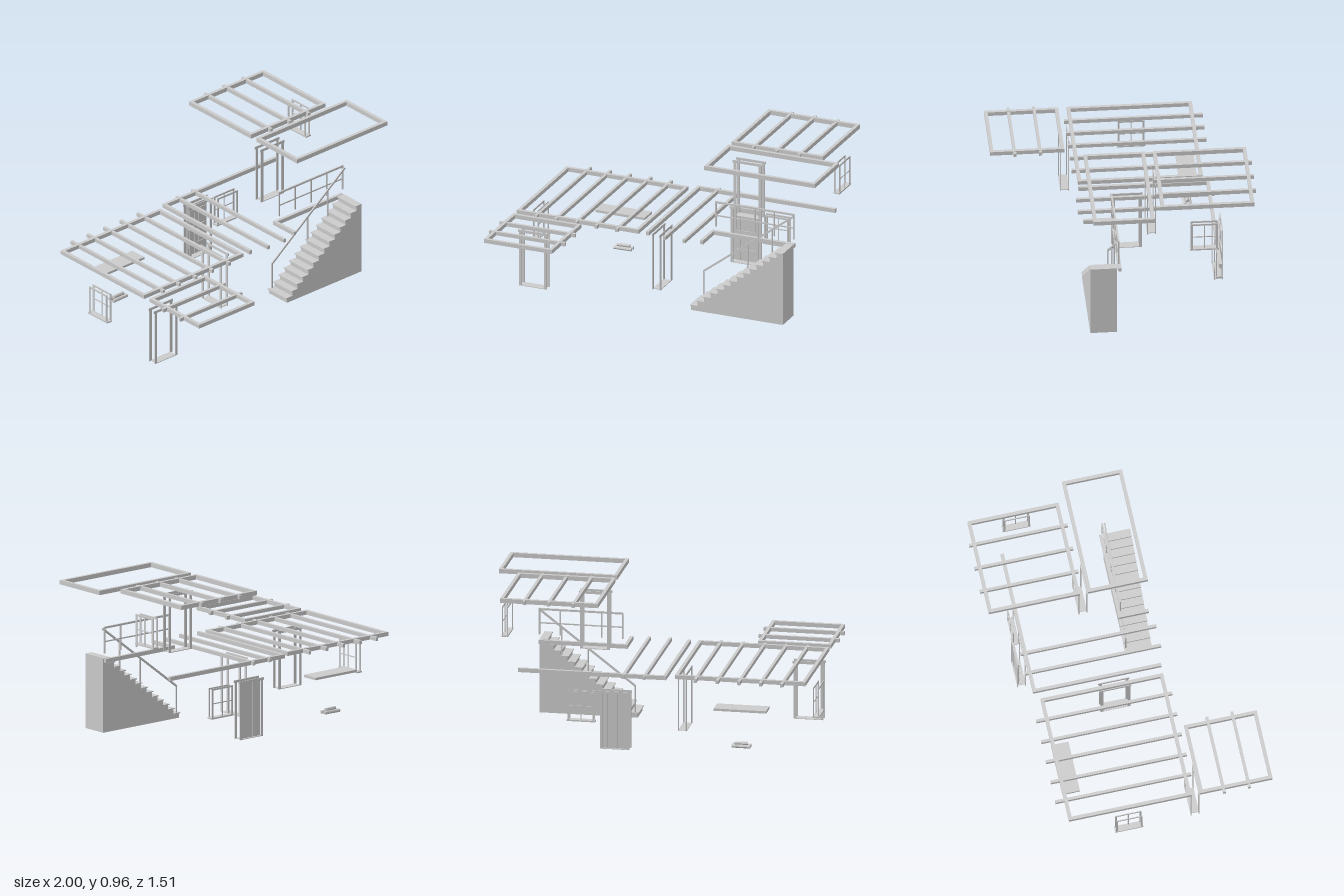
import * as THREE from 'three';

const mat = new THREE.MeshStandardMaterial({ color: 0xcccccc, flatShading: true });

function group(parent, name) {
  const g = new THREE.Group();
  g.name = name;
  parent.add(g);
  return g;
}

// Box given by its min and max on each axis
function box(parent, name, x0, x1, y0, y1, z0, z1) {
  const m = new THREE.Mesh(new THREE.BoxGeometry(x1 - x0, y1 - y0, z1 - z0), mat);
  m.position.set((x0 + x1) / 2, (y0 + y1) / 2, (z0 + z1) / 2);
  m.name = name;
  parent.add(m);
  return m;
}

// Rectangular ring of ceiling beams
function beamRing(parent, name, x0, x1, z0, z1, y0, y1) {
  const g = group(parent, name), w = 0.021;
  box(g, 'sideBeam', x0, x0 + w, y0, y1, z0, z1);
  box(g, 'sideBeam', x1 - w, x1, y0, y1, z0, z1);
  box(g, 'backBeam', x0 + w, x1 - w, y0, y1, z0, z0 + w);
  box(g, 'frontBeam', x0 + w, x1 - w, y0, y1, z1 - w, z1);
  return g;
}

function raftersAlongZ(parent, xs, z0, z1, y0, y1) {
  for (const x of xs) box(parent, 'rafter', x - 0.009, x + 0.009, y0, y1, z0, z1);
}

// Door surround: trim on both wall faces joined by a threshold
function doorFrame(parent, name, x, y, z, turn, depth = 0.054) {
  const g = group(parent, name), h = 0.365;
  for (const s of [-1, 1]) {
    const a = s * depth / 2, b = s * (depth / 2 - 0.005);
    const z0 = Math.min(a, b), z1 = Math.max(a, b);
    for (const e of [-1, 1]) box(g, 'doorJamb', e * 0.083 - 0.009, e * 0.083 + 0.009, 0, h - 0.016, z0, z1);
    box(g, 'doorHeader', -0.098, 0.098, h - 0.016, h, z0, z1);
  }
  box(g, 'threshold', -0.08, 0.08, 0, 0.004, -depth / 2, depth / 2);
  g.position.set(x, y, z);
  g.rotation.y = turn;
  return g;
}

// Window: trim on both wall faces, sill and crossing glazing bars
function windowFrame(parent, name, x, y, z, turn) {
  const g = group(parent, name), w = 0.082, h = 0.187, d = 0.016, t = 0.011;
  for (const s of [-1, 1]) {
    const z0 = s * d - 0.0025, z1 = s * d + 0.0025;
    for (const e of [-1, 1]) box(g, 'windowJamb', e * (w - t / 2) - t / 2, e * (w - t / 2) + t / 2, 0, h, z0, z1);
    box(g, 'windowHeader', -w + t, w - t, h - t, h, z0, z1);
  }
  box(g, 'windowSill', -0.088, 0.088, -0.003, 0.006, -d - 0.004, d + 0.004);
  box(g, 'verticalBar', -0.003, 0.003, 0, h - t, d - 0.003, d + 0.002);
  box(g, 'horizontalBar', -w + t, w - t, h / 2 - 0.003, h / 2 + 0.003, d - 0.003, d + 0.002);
  g.position.set(x, y, z);
  g.rotation.y = turn;
  return g;
}

export function createModel() {
  const model = new THREE.Group();
  model.name = 'houseFraming';
  const L0 = 0.441, L1 = 0.466, U0 = 0.931, U1 = 0.958;

  // Main room ceiling
  const main = beamRing(model, 'mainRoomBeams', -0.975, -0.168, -0.515, 0.248, L0, L1);
  raftersAlongZ(main, [-0.838, -0.707, -0.573, -0.44, -0.303], -0.57, 0.275, L0, L1 - 0.002);

  // Front room ceiling, rafters running sideways
  const front = beamRing(model, 'frontRoomBeams', -0.975, -0.525, 0.3, 0.752, L0, L1);
  for (const z of [0.447, 0.603]) box(front, 'rafter', -1, -0.5, L0, L1 - 0.002, z - 0.009, z + 0.009);

  // Hall ceiling, open around the stairwell
  const hall = group(model, 'hallBeams');
  box(hall, 'sideBeam', -0.12, -0.1, L0, L1, -0.53, 0.25);
  box(hall, 'backBeam', -0.12, 0.795, L0, L1, -0.55, -0.53);
  raftersAlongZ(hall, [0.013, 0.142], -0.57, 0.275, L0, L1 - 0.002);
  box(hall, 'stairwellSideBeam', 0.238, 0.258, L0, L1, 0.062, 0.25);
  box(hall, 'stairwellBackBeam', 0.258, 0.787, L0, L1, 0.062, 0.082);

  // Upper floor ceilings
  const upper = beamRing(model, 'upperRoomBeams', 0.265, 0.87, -0.74, -0.172, U0, U1);
  raftersAlongZ(upper, [0.414, 0.566, 0.719], -0.762, -0.15, U0, U1 - 0.002);
  beamRing(model, 'landingBeams', 0.265, 0.997, -0.123, 0.25, U0, U1);

  // Solid staircase with thin overhanging treads
  const stairs = group(model, 'staircase');
  const n = 14, sx = 0.18, ex = 0.787, run = (ex - sx) / n, rise = 0.466 / n;
  const side = new THREE.Shape();
  side.moveTo(sx, 0);
  for (let i = 0; i < n; i++) {
    side.lineTo(sx + i * run, (i + 1) * rise - 0.003);
    side.lineTo(sx + (i + 1) * run, (i + 1) * rise - 0.003);
  }
  side.lineTo(ex, 0);
  const body = new THREE.Mesh(new THREE.ExtrudeGeometry(side, { depth: 0.163, bevelEnabled: false }), mat);
  body.position.z = 0.09;
  body.name = 'stairBody';
  stairs.add(body);
  for (let i = 0; i < n; i++) {
    const x = sx + i * run, y = (i + 1) * rise;
    box(stairs, 'tread', x - 0.008, x + run, y - 0.006, y, 0.086, 0.254);
  }

  // Sloping handrail
  const rail = group(model, 'stairRailing');
  const railY = x => 0.2 + (x - 0.197) * (0.45 / 0.59);
  const bar = box(rail, 'handrail', -0.373, 0.373, -0.006, 0.006, -0.004, 0.004);
  bar.position.set(0.492, railY(0.492), 0.096);
  bar.rotation.z = Math.atan2(0.45, 0.59);
  for (const x of [0.197, 0.487, 0.65]) {
    const foot = (Math.floor((x - sx) / run) + 1) * rise;
    box(rail, 'railPost', x - 0.004, x + 0.004, foot, railY(x), 0.092, 0.1);
  }

  // Landing railing
  const balcony = group(model, 'landingRailing');
  for (let i = 0; i < 5; i++) {
    const x = 0.271 + i * 0.1285;
    box(balcony, 'railPost', x - 0.004, x + 0.004, 0.498, 0.655, 0.076, 0.084);
  }
  box(balcony, 'topRail', 0.265, 0.789, 0.652, 0.664, 0.075, 0.085);
  box(balcony, 'middleRail', 0.267, 0.787, 0.567, 0.575, 0.077, 0.083);

  // Doors
  doorFrame(model, 'frontDoorway', -0.845, 0, 0.278, 0);
  doorFrame(model, 'innerDoorway', -0.14, 0, -0.047, Math.PI / 2);
  doorFrame(model, 'upperDoorway', 0.393, 0.498, -0.146, 0);
  const back = doorFrame(model, 'backDoorway', 0.188, 0, -0.572, 0);
  for (let i = 0; i < 5; i++) {
    const x = -0.074 + i * 0.0296;
    box(back, 'doorPlank', x + 0.0007, x + 0.0289, 0.005, 0.348, -0.02, -0.012);
  }
  for (const y of [0.07, 0.19, 0.3]) box(back, 'doorBatten', -0.07, 0.07, y - 0.011, y + 0.011, -0.012, -0.008);

  // Windows
  windowFrame(model, 'leftWallWindow', -0.984, 0.16, -0.145, Math.PI / 2);
  windowFrame(model, 'upperWindow', 0.884, 0.653, -0.433, Math.PI / 2);
  windowFrame(model, 'backWindow', 0.402, 0.16, -0.558, Math.PI);

  // Mantel shelf and firewood
  box(model, 'mantelShelf', -0.73, -0.405, 0.25, 0.265, -0.502, -0.392);
  const logs = group(model, 'firewood');
  for (const [x, y, z, len, yaw] of [
    [-0.567, 0.023, -0.432, 0.115, 0.03], [-0.567, 0.023, -0.465, 0.115, -0.03], [-0.567, 0.038, -0.449, 0.08, 0.06],
  ]) {
    const log = new THREE.Mesh(new THREE.CylinderGeometry(0.011, 0.011, len, 8), mat);
    log.rotation.set(0, yaw, Math.PI / 2);
    log.position.set(x, y, z);
    log.name = 'log';
    logs.add(log);
  }
  return model;
}
